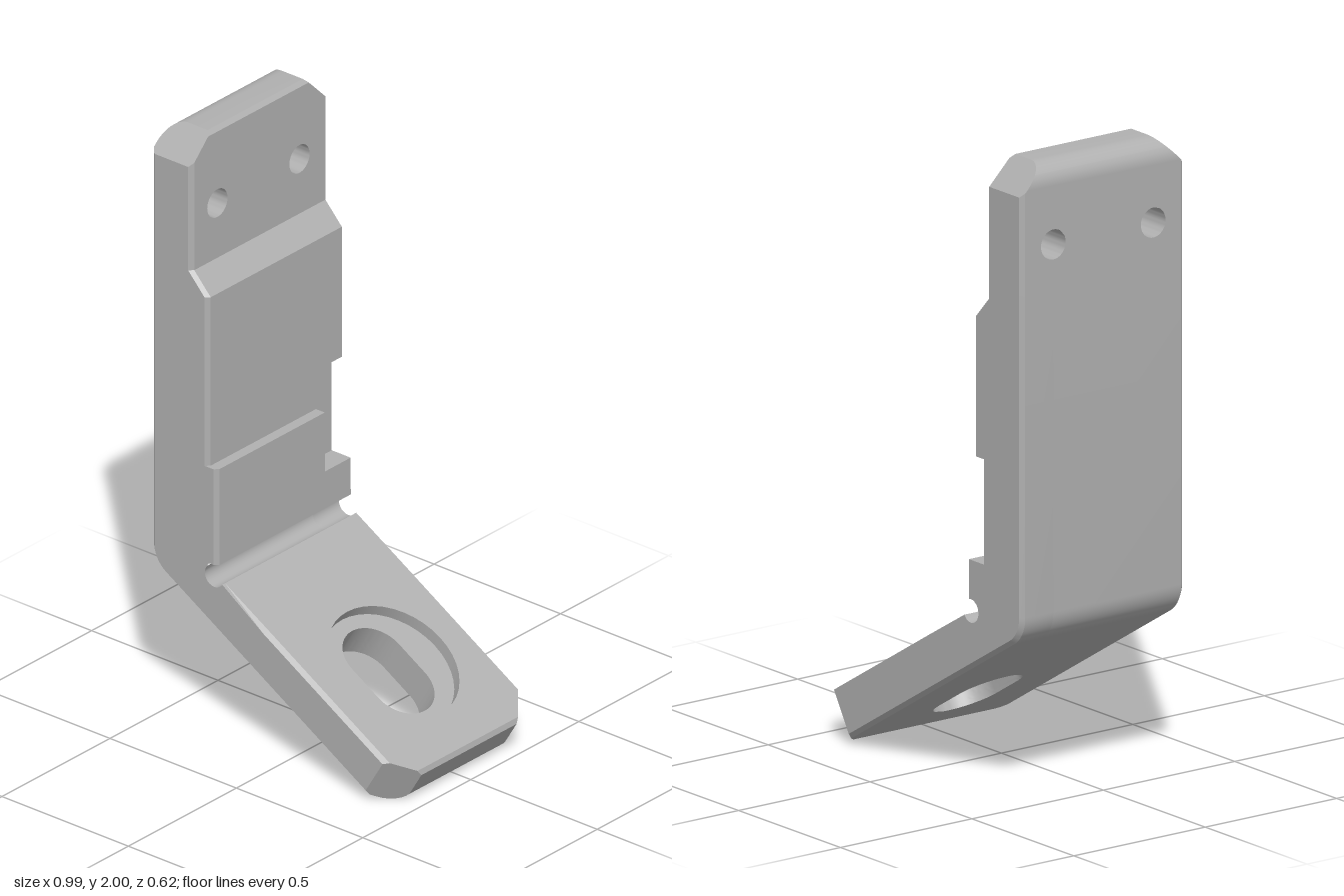
import * as THREE from 'three';
import { toCreasedNormals } from 'three/addons/utils/BufferGeometryUtils.js';

const W = 0.31;        // half width
const C = 0.013;       // small edge break
const CORNER = 0.09;   // corner chamfer at both free ends
const ANG = THREE.MathUtils.degToRad(31);
const V = (x, y) => new THREE.Vector2(x, y);

// Foot frame: u runs along the foot, n points up out of it
const U = V(Math.cos(ANG), -Math.sin(ANG));
const N = V(Math.sin(ANG), Math.cos(ANG));
const FOOT = V(0.345, 0.023);
const FOOT_T = 0.155, FOOT_START = -0.55, FOOT_END = 0.087;
const footPoint = (s, t) => FOOT.clone().addScaledVector(U, s).addScaledVector(N, t);
const footHeight = (p) => p.clone().sub(FOOT).dot(N);

// Outer bend between wall and foot
const BEND_R = 0.11;
const BEND = V(-0.5 + BEND_R, 0);
BEND.y = FOOT.y + (BEND_R - (BEND.x - FOOT.x) * N.x) / N.y;

function arc(c, r, from, to, count) {
  const pts = [];
  for (let i = 0; i <= count; i++) {
    const a = from + (to - from) * i / count;
    pts.push(V(c.x + r * Math.cos(a), c.y + r * Math.sin(a)));
  }
  return pts;
}

// Extrude through uneven layers, then move each vertex by a rule
function layered(shape, layers, rule) {
  const n = layers.length - 1;
  const geo = new THREE.ExtrudeGeometry(shape, { depth: n, steps: n, bevelEnabled: false, curveSegments: 20 });
  const pos = geo.attributes.position;
  for (let i = 0; i < pos.count; i++) {
    const d = layers[Math.round(pos.getZ(i))];
    const p = rule(V(pos.getX(i), pos.getY(i)), d);
    pos.setXYZ(i, p.x, p.y, d);
  }
  return geo;
}

// Side profile of wall, bend and foot root; middle holds the inner steps
function bodyShape(middle) {
  const relief = V(-0.25, 0.56);
  return new THREE.Shape([
    V(-0.5, 1.6), V(-0.34, 1.6), V(-0.34, 1.56), V(-0.275, 1.49),
    ...middle,
    ...arc(relief, 0.037, 1.29, 2 * Math.PI - ANG, 20),
    footPoint(FOOT_START, FOOT_T), footPoint(FOOT_START, 0),
    ...arc(BEND, BEND_R, 1.5 * Math.PI - ANG, Math.PI, 10),
  ]);
}

// Breaks the long outer edges on both sides, the inner ones on +z only
function bodyRule(p, z) {
  if (Math.abs(z) < W - 1e-6) return p;
  const h = footHeight(p);
  const toBend = BEND.clone().sub(p);
  if (Math.abs(toBend.length() - BEND_R) < 1e-4 && p.x < -0.38) return p.addScaledVector(toBend.normalize(), C);
  if (p.x < -0.499) p.x += C;
  else if (Math.abs(h) < 1e-4) p.addScaledVector(N, C);
  else if (z > 0 && p.y > 0.59) p.x -= C;
  else if (z > 0 && Math.abs(h - FOOT_T) < 1e-4) p.addScaledVector(N, -C);
  return p;
}

// Plate end with chamfered corners and a rounded outer edge.
// d is the height above the outer face; side is the sign of the edge broken inside.
function plate({ length, thickness, layers, holes, round, side }) {
  const shape = new THREE.Shape([
    V(-W, 0), V(W, 0), V(W, length - CORNER), V(W - CORNER, length),
    V(CORNER - W, length), V(-W, length - CORNER),
  ]);
  shape.holes.push(...holes);
  return layered(shape, layers, (p, d) => {
    const inner = Math.max(0, d - (thickness - C));
    const drop = (d < round ? round - Math.sqrt(round * round - (round - d) ** 2) : 0) + inner;
    const sgn = Math.sign(p.x);
    const inset = Math.max(0, C - d) + (sgn === side ? inner : 0);
    if (Math.abs(p.y - length) < 1e-5) {
      p.y -= drop;
      p.x = sgn * (W - CORNER + drop);
    } else if (Math.abs(p.x) > W - 1e-5) {
      p.x -= sgn * inset;
      if (p.y > 0.01) p.y += inset;
    }
    return p;
  });
}

// Layer heights following the rounded outer edge
function roundLayers(r, ...rest) {
  const out = [];
  for (let i = 0; i <= 8; i++) out.push(r * (1 - Math.cos(i / 8 * Math.PI / 2)));
  out.push(C, ...rest);
  return out.sort((a, b) => a - b);
}

function circleHole(x, y, r) {
  const path = new THREE.Path();
  path.absarc(x, y, r, 0, Math.PI * 2, true);
  return path;
}

export function createModel() {
  const group = new THREE.Group();
  const grey = new THREE.MeshStandardMaterial({ color: 0xb0b0b0 });
  grey.name = 'plain grey';
  const add = (name, geo) => {
    const mesh = new THREE.Mesh(toCreasedNormals(geo, 0.55), grey);
    mesh.name = name;
    group.add(mesh);
  };

  // Wall and bend, with the side notch as a separate slice
  const step = V(-0.24, 0.65);
  add('wallBody', layered(
    bodyShape([V(-0.275, 0.92), V(-0.24, 0.92), step]), [-0.19, W - C, W], bodyRule));
  add('notchedWallSide', layered(
    bodyShape([V(-0.275, 1.05), V(-0.315, 1.05), V(-0.315, 0.72), V(-0.24, 0.72), step]),
    [-W, C - W, -0.19], bodyRule));

  // Upper plate with two screw holes
  const upright = plate({
    length: 0.4, thickness: 0.16, round: 0.07, side: -1,
    layers: roundLayers(0.07, 0.16 - C, 0.16),
    holes: [-0.19, 0.19].map((x) => circleHole(x, 0.145, 0.047)),
  });
  upright.applyMatrix4(new THREE.Matrix4().makeBasis(
    new THREE.Vector3(0, 0, -1), new THREE.Vector3(0, 1, 0), new THREE.Vector3(1, 0, 0),
  ).setPosition(-0.5, 1.6, 0));
  add('upperPlate', upright);

  // Foot: slotted lower layer and recessed upper layer
  const length = FOOT_END - FOOT_START, mid = -0.268 - FOOT_START, floor = 0.115;
  const slot = new THREE.Path();
  slot.absarc(0, mid + 0.06, 0.108, 0, Math.PI, false);
  slot.absarc(0, mid - 0.06, 0.108, Math.PI, Math.PI * 2, false);
  slot.closePath();
  const origin = footPoint(FOOT_START, 0);
  const footMatrix = new THREE.Matrix4().makeBasis(
    new THREE.Vector3(0, 0, 1), new THREE.Vector3(U.x, U.y, 0), new THREE.Vector3(N.x, N.y, 0),
  ).setPosition(origin.x, origin.y, 0);
  const foot = { length, thickness: FOOT_T, round: 0.06, side: 1 };
  add('slottedFoot', plate({ ...foot, layers: roundLayers(0.06, floor), holes: [slot] }).applyMatrix4(footMatrix));
  add('footRecess', plate({
    ...foot, layers: [floor, FOOT_T - C, FOOT_T], holes: [circleHole(0, mid, 0.215)],
  }).applyMatrix4(footMatrix));

  return group;
}
